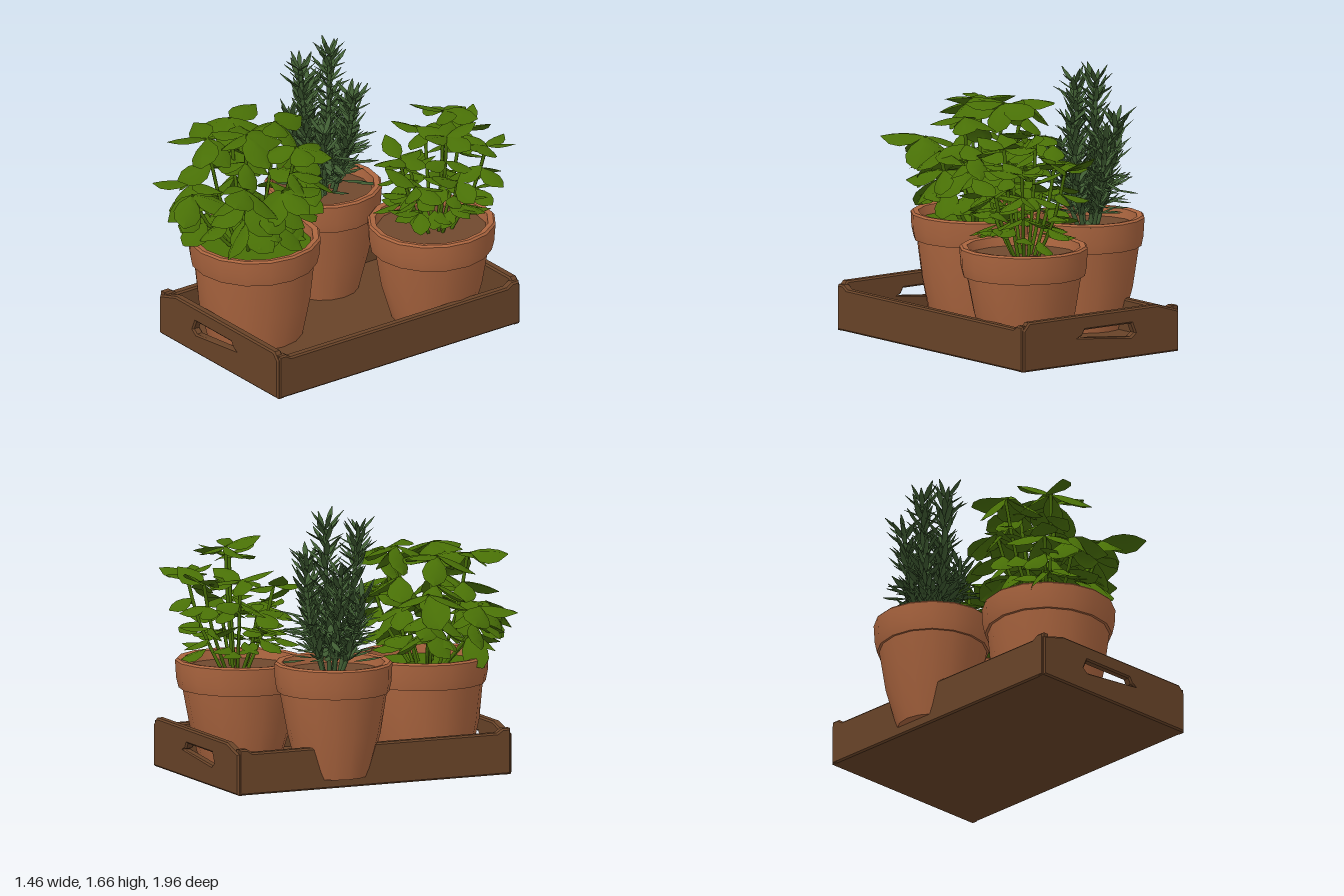
import * as THREE from 'three';
import { mergeGeometries, toCreasedNormals } from 'three/addons/utils/BufferGeometryUtils.js';

const mat = (name, color, side = THREE.FrontSide) => {
  const m = new THREE.MeshStandardMaterial({ color, side });
  m.name = name;
  return m;
};

// Small seeded random source
let seed = 7;
const rnd = (a = 0, b = 1) => {
  seed = (seed * 16807) % 2147483647;
  return a + (b - a) * (seed / 2147483647);
};

const mesh = (name, geo, material) => {
  const m = new THREE.Mesh(geo, material);
  m.name = name;
  return m;
};

// Leaf along +z, one unit long, domed across and curling down to the tip
function leafGeometry(width, dome, curl, blunt, across = 2, along = 4) {
  const g = new THREE.PlaneGeometry(1, 1, across, along).rotateX(-Math.PI / 2);
  const p = g.attributes.position;
  for (let i = 0; i < p.count; i++) {
    const t = p.getZ(i) + 0.5, u = p.getX(i) * 2;
    const w = Math.pow(Math.max(0, Math.sin(Math.PI * t)), blunt) * width / 2 + 0.02;
    p.setXYZ(i, u * w, -dome * Math.abs(u) * w - curl * t * t, t);
  }
  g.computeVertexNormals();
  return g;
}

// Copy of a leaf placed at a point with heading, downward pitch, roll and length
const dummy = new THREE.Object3D();
dummy.rotation.order = 'YXZ';
function place(geo, pos, heading, pitch, roll, length) {
  dummy.position.copy(pos);
  dummy.rotation.set(pitch, heading, roll);
  dummy.scale.setScalar(length);
  dummy.updateMatrix();
  return geo.clone().applyMatrix4(dummy.matrix);
}

// Tapered flowerpot with a collar, and its soil
function makePot(name, x, z, r, top, bottom, collar, bodyR, footR, clay, soilMat) {
  const group = new THREE.Group();
  group.name = name;
  const profile = [
    [0, bottom], [footR, bottom], [(footR + bodyR) / 2 + 0.012, (bottom + collar) / 2],
    [bodyR, collar], [r - 0.018, collar], [r - 0.005, collar + 0.06], [r, top - 0.012],
    [r - 0.012, top], [r - 0.045, top - 0.005], [r - 0.06, top - 0.09],
  ].map(([a, b]) => new THREE.Vector2(a, b));
  const g = new THREE.LatheGeometry(profile, 16);
  const p = g.attributes.position;
  for (let i = 0; i < p.count; i++) {
    const a = Math.atan2(p.getX(i), p.getZ(i));
    const k = 1 + 0.008 * Math.sin(3 * a + p.getY(i) * 9);
    p.setXYZ(i, p.getX(i) * k, p.getY(i), p.getZ(i) * k);
  }
  group.add(mesh('pot', toCreasedNormals(g, 0.7), clay));
  const soil = mesh('soil', new THREE.CircleGeometry(r - 0.045, 16).rotateX(-Math.PI / 2), soilMat);
  soil.position.y = top - 0.06;
  group.add(soil);
  group.position.set(x, 0, z);
  return group;
}

// Curved stem from the pot out to a tip
function stemCurve(cx, cz, y0, [x, y, z], spread) {
  const a = new THREE.Vector3(cx + (x - cx) * spread, y0, cz + (z - cz) * spread);
  const b = new THREE.Vector3(cx + (x - cx) * 0.75, (y0 + y) / 2, cz + (z - cz) * 0.75);
  return new THREE.CatmullRomCurve3([a, b, new THREE.Vector3(x, y, z)]);
}

// Broad-leaved herb: leafy stems and a low ring of leaves over the soil
function makeHerb(name, cx, cz, y0, tips, leaf, size, pitch, ring, ringCount, material) {
  const leaves = [], stems = [];
  for (const tip of tips) {
    const curve = stemCurve(cx, cz, y0, tip, 0.3);
    stems.push(new THREE.TubeGeometry(curve, 4, 0.011, 5));
    const outward = Math.atan2(tip[0] - cx, tip[2] - cz);
    for (let i = 0; i < 5; i++) {
      leaves.push(place(leaf, curve.getPoint(1), outward + i * 1.257 + rnd(-0.25, 0.25),
        pitch + rnd(-0.55, 0.4), rnd(-0.5, 0.5), size * rnd(0.8, 1.05)));
    }
    for (const t of [0.5, 0.75]) {
      for (let i = 0; i < 2; i++) {
        leaves.push(place(leaf, curve.getPoint(t), outward + (i - 0.5) * 1.8 + rnd(-0.4, 0.4),
          pitch + rnd(-0.2, 0.4), rnd(-0.5, 0.5), size * rnd(0.75, 0.95)));
      }
    }
  }
  for (let i = 0; i < ringCount; i++) {
    const a = i * 6.283 / ringCount + rnd(-0.1, 0.1), r = rnd(0.1, ring);
    const pos = new THREE.Vector3(cx + Math.sin(a) * r, y0 + rnd(0.13, 0.24), cz + Math.cos(a) * r);
    leaves.push(place(leaf, pos, a, rnd(-0.1, 0.3), rnd(-0.3, 0.3), size * 0.85));
  }
  const group = new THREE.Group();
  group.name = name;
  group.add(mesh('leaves', mergeGeometries(leaves), material), mesh('stems', mergeGeometries(stems), material));
  return group;
}

// Needle-leaved herb: upright bristly stems and a spiky skirt
function makeNeedleHerb(name, cx, cz, y0, tips, material) {
  const needle = leafGeometry(0.2, 0.5, 0.1, 0.9, 2, 3);
  const needles = [], stems = [];
  for (const tip of tips) {
    const curve = stemCurve(cx, cz, y0, tip, 0.3);
    stems.push(new THREE.TubeGeometry(curve, 5, 0.014, 5));
    const rows = Math.round((tip[1] - y0) / 0.042);
    for (let j = 2; j <= rows; j++) {
      for (let i = 0; i < 5; i++) {
        needles.push(place(needle, curve.getPoint(j / rows), j * 0.7 + i * 1.257 + rnd(-0.3, 0.3),
          rnd(-1.2, -0.6), 0, rnd(0.11, 0.16)));
      }
    }
  }
  for (let i = 0; i < 80; i++) {
    const a = i * 2.4, r = rnd(0.05, 0.17);
    const pos = new THREE.Vector3(cx + Math.sin(a) * r, y0 + rnd(0.08, 0.35), cz + Math.cos(a) * r);
    needles.push(place(needle, pos, a + rnd(-0.3, 0.3), rnd(-0.6, 0.15), 0, rnd(0.13, 0.18)));
  }
  const group = new THREE.Group();
  group.name = name;
  group.add(mesh('needles', mergeGeometries(needles), material), mesh('stems', mergeGeometries(stems), material));
  return group;
}

// Wooden tray: floor, long sides rising at the corners, taller ends with hand holes
function makeTray(wood) {
  const tray = new THREE.Group();
  tray.name = 'tray';
  const x0 = -0.535, x1 = 0.64, z0 = -0.935, z1 = 0.86;
  const floor = mesh('floor', new THREE.BoxGeometry(x1 - x0 - 0.03, 0.06, z1 - z0 - 0.03), wood);
  floor.position.set((x0 + x1) / 2, 0.035, (z0 + z1) / 2);
  tray.add(floor);

  const toPoints = (list) => list.map(([x, y]) => new THREE.Vector2(x, y));
  const extrude = (shape) => new THREE.ExtrudeGeometry(shape, {
    depth: 0.035, bevelEnabled: true, bevelSize: 0.01, bevelThickness: 0.01, bevelSegments: 1 });

  const h = (z1 - z0) / 2 - 0.02;
  const side = extrude(new THREE.Shape(toPoints([
    [-h, 0.015], [h, 0.015], [h, 0.27], [h - 0.04, 0.27], [h - 0.075, 0.247],
    [0.075 - h, 0.247], [0.04 - h, 0.27], [-h, 0.27]]))).rotateY(Math.PI / 2);
  for (const [name, x] of [['leftSide', x1 - 0.045], ['rightSide', x0 + 0.01]]) {
    const m = mesh(name, side, wood);
    m.position.set(x, 0, (z0 + z1) / 2);
    tray.add(m);
  }

  const end = new THREE.Shape(toPoints([
    [x0 + 0.015, 0.015], [x1 - 0.015, 0.015], [x1 - 0.015, 0.25], [x1 - 0.05, 0.29], [-0.37, 0.29], [x0 + 0.015, 0.245]]));
  end.holes.push(new THREE.Path(toPoints([
    [-0.21, 0.15], [-0.18, 0.22], [0.18, 0.22], [0.2, 0.185], [0.24, 0.165], [-0.17, 0.12]])));
  const endGeo = extrude(end);
  for (const [name, z] of [['frontEnd', z1 - 0.045], ['backEnd', z0 + 0.01]]) {
    const m = mesh(name, endGeo, wood);
    m.position.z = z;
    tray.add(m);
  }
  return tray;
}

export function createModel() {
  seed = 7;
  const wood = mat('wood', 0x684328);
  const clay = mat('terracotta', 0xab653f, THREE.DoubleSide);
  const soil = mat('soil', 0x70492e);
  const leafGreen = mat('leaf green', 0x486f06, THREE.DoubleSide);
  const needleGreen = mat('needle green', 0x3f5c32, THREE.DoubleSide);

  const model = new THREE.Group();
  model.name = 'pottedHerbTray';
  model.add(makeTray(wood));

  model.add(makePot('frontPot', -0.115, 0.47, 0.395, 0.695, 0.06, 0.53, 0.36, 0.285, clay, leafGreen));
  model.add(makePot('sidePot', -0.378, -0.235, 0.35, 0.74, 0.06, 0.56, 0.318, 0.21, clay, soil));
  model.add(makePot('backPot', 0.31, -0.52, 0.382, 0.675, 0.06, 0.5, 0.342, 0.24, clay, soil));

  model.add(makeHerb('frontHerb', -0.13, 0.49, 0.62, [
    [-0.42, 1.33, 0.42], [-0.16, 1.36, 0.28], [0.1, 1.3, 0.32], [0.17, 1.08, 0.47], [-0.43, 1.1, 0.36],
    [-0.39, 1.0, 0.72], [-0.25, 1.0, 0.83], [0.1, 1.13, 0.7], [-0.12, 1.36, 0.53], [0.07, 1.08, 0.24], [-0.3, 1.31, 0.68],
  ], leafGeometry(0.68, 0.45, 0.25, 0.75), 0.25, 0.25, 0.18, 9, leafGreen));
  model.add(makeHerb('backHerb', 0.32, -0.54, 0.6, [
    [0.3, 1.35, -0.62], [0.46, 1.27, -0.52], [0.52, 1.16, -0.77], [0.14, 1.17, -0.6],
    [0.25, 1.1, -0.33], [0.22, 1.15, -0.8], [0.54, 1.0, -0.54], [0.15, 0.97, -0.48], [0.42, 0.98, -0.32],
  ], leafGeometry(0.6, 0.35, 0.12, 0.9), 0.21, -0.1, 0.23, 15, leafGreen));
  model.add(makeNeedleHerb('needleHerb', -0.38, -0.25, 0.66, [
    [-0.4, 1.54, -0.3], [-0.41, 1.5, -0.09], [-0.57, 1.28, -0.28], [-0.2, 1.32, -0.33],
    [-0.55, 1.12, -0.13], [-0.24, 1.12, -0.14], [-0.38, 1.2, -0.42],
  ], needleGreen));
  return model;
}
